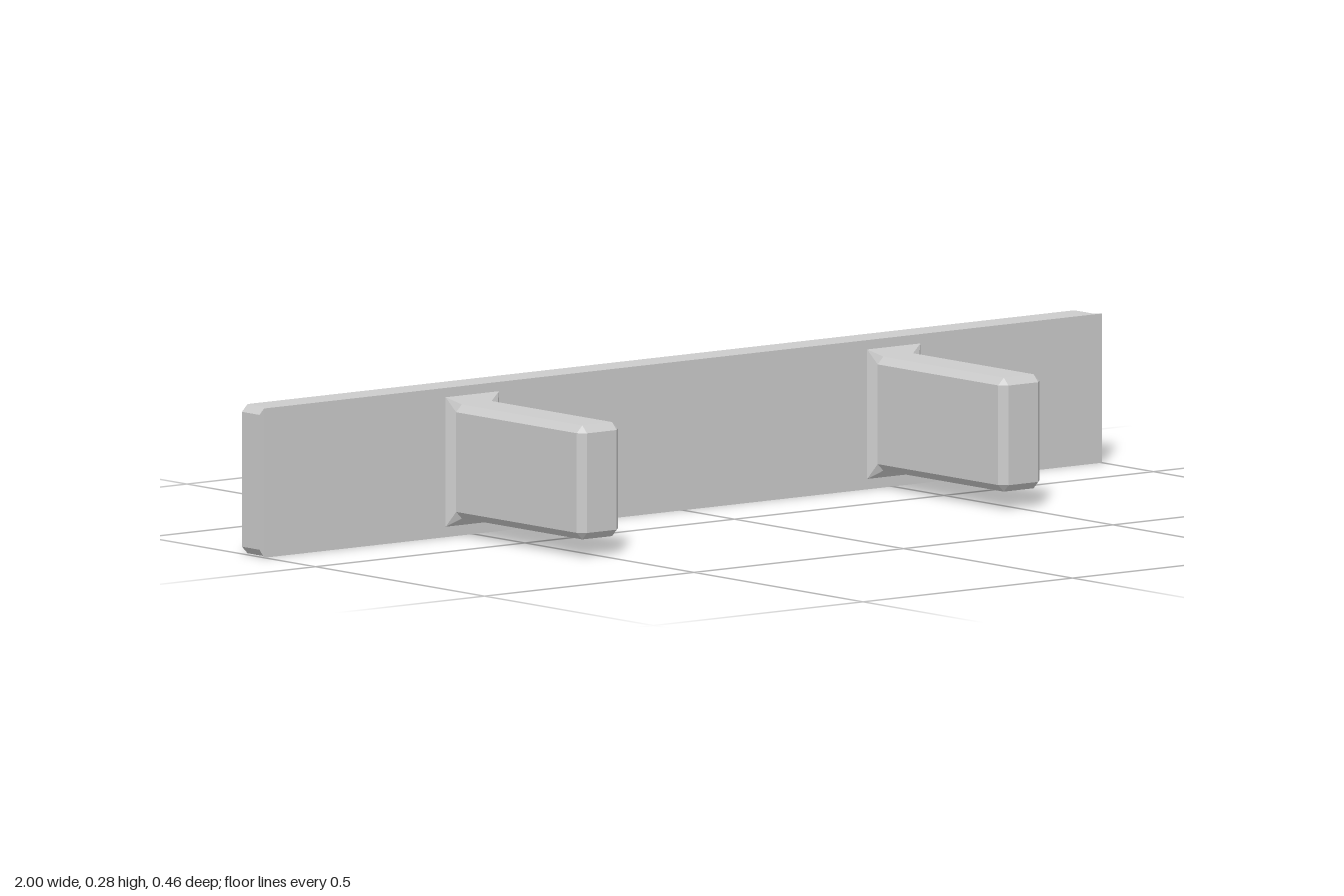
import * as THREE from 'three';

const material = new THREE.MeshStandardMaterial({ color: 0xcccccc, flatShading: true });
const BEVEL = 0.0135;

// Rectangle outline with cut corners, counter-clockwise seen from +z
function ring(halfX, halfY, cut, z) {
  const a = halfX - cut, b = halfY - cut;
  return [
    [halfX, -b], [halfX, b], [a, halfY], [-a, halfY],
    [-halfX, b], [-halfX, -b], [-a, -halfY], [a, -halfY],
  ].map(([x, y]) => new THREE.Vector3(x, y, z));
}

// Solid through outlines listed from back to front, capped at both ends
function loft(rings) {
  const points = [];
  const triangle = (a, b, c) => {
    if (new THREE.Triangle(a, b, c).getArea() > 1e-8) points.push(a, b, c);
  };
  for (let r = 0; r < rings.length - 1; r++) {
    const back = rings[r], front = rings[r + 1];
    for (let i = 0; i < 8; i++) {
      const j = (i + 1) % 8;
      triangle(back[i], back[j], front[j]);
      triangle(back[i], front[j], front[i]);
    }
  }
  const first = rings[0], last = rings[rings.length - 1];
  for (let i = 1; i < 7; i++) {
    triangle(first[0], first[i + 1], first[i]);
    triangle(last[0], last[i], last[i + 1]);
  }
  const geometry = new THREE.BufferGeometry().setFromPoints(points);
  geometry.computeVertexNormals();
  return geometry;
}

function addPart(group, name, geometry, x, y) {
  const mesh = new THREE.Mesh(geometry, material);
  mesh.name = name;
  mesh.position.set(x, y, 0);
  group.add(mesh);
}

export function createModel() {
  const group = new THREE.Group();
  group.name = 'boardWithBrackets';

  // Long board: bevelled back, cut corners running out to a sharp front edge
  addPart(group, 'board', loft([
    ring(1 - BEVEL, 0.14 - BEVEL, 0, -0.231),
    ring(1, 0.14, BEVEL, -0.231 + BEVEL),
    ring(1, 0.14, BEVEL, -0.152 - BEVEL),
    ring(1, 0.14, 0, -0.152),
  ]), 0, 0.14);

  // Two arms: flared foot against the board, bevelled free end
  const armGeometry = loft([
    ring(0.0635, 0.1215, 0, -0.152),
    ring(0.049, 0.107, BEVEL, -0.139),
    ring(0.049, 0.107, BEVEL, 0.231 - BEVEL),
    ring(0.049 - BEVEL, 0.107 - BEVEL, 0, 0.231),
  ]);
  for (const [name, side] of [['leftArm', 1], ['rightArm', -1]]) {
    addPart(group, name, armGeometry, side * 0.503, 0.141);
  }
  return group;
}
